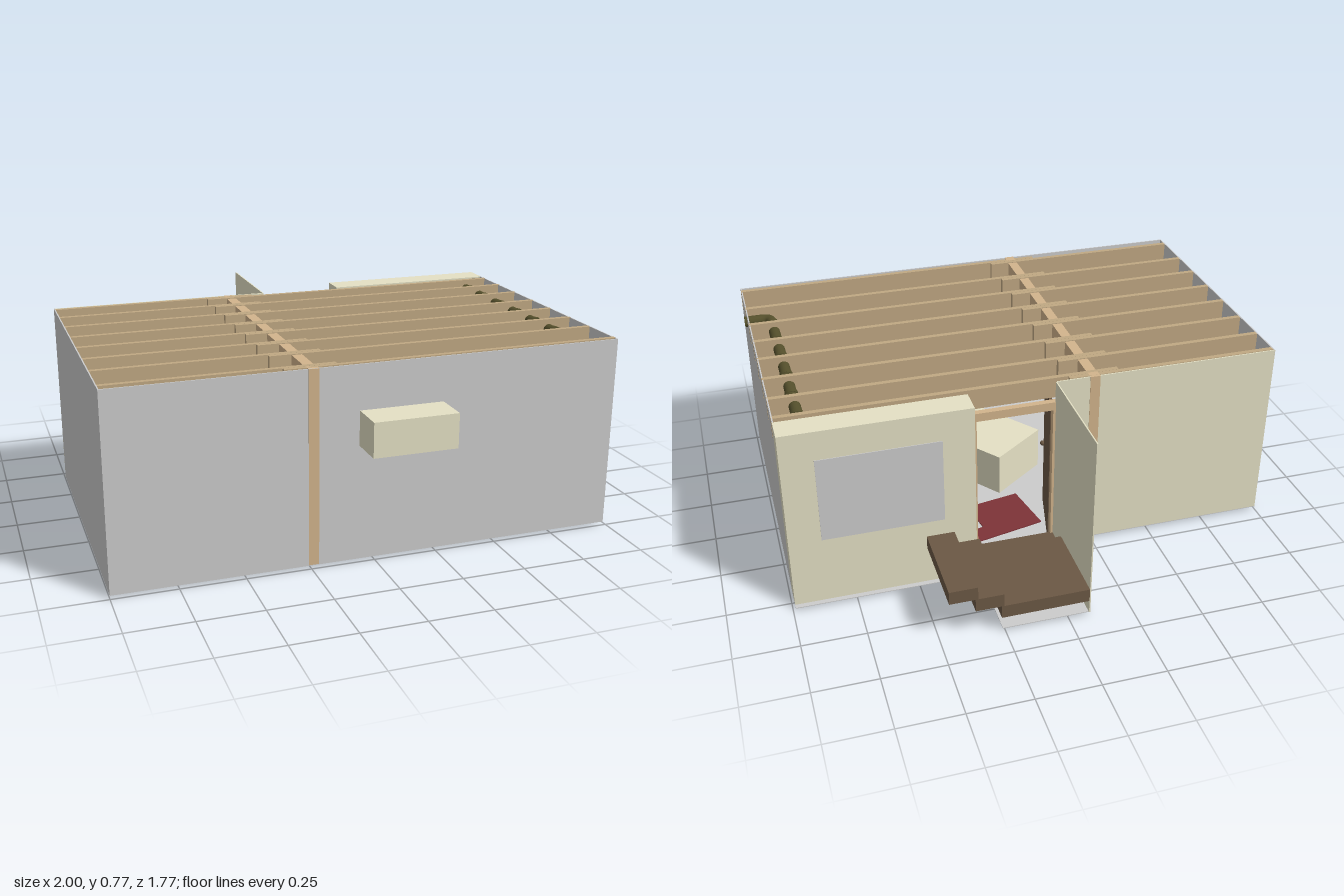
import * as THREE from 'three';

const paint = (color) => new THREE.MeshStandardMaterial({ color, side: THREE.DoubleSide });
const GREY = paint(0xcccccc), CREAM = paint(0xe4e0c4), TAN = paint(0xd2b48c), JOIST = paint(0xc0a883),
  BROWN = paint(0x6b5844), OLIVE = paint(0x55502c), RED = paint(0x7d3338), DARK = paint(0x666666);

export function createModel() {
  const model = new THREE.Group();
  model.name = 'basement';
  const add = (name, geometry, material) => {
    const mesh = new THREE.Mesh(geometry, material);
    mesh.name = name;
    model.add(mesh);
    return mesh;
  };
  // Box given by its limits on each axis
  const box = (name, x0, x1, y0, y1, z0, z1, material) => {
    const mesh = add(name, new THREE.BoxGeometry(x1 - x0, y1 - y0, z1 - z0), material);
    mesh.position.set((x0 + x1) / 2, (y0 + y1) / 2, (z0 + z1) / 2);
    return mesh;
  };
  // Flat outline in x and z, raised from y0 to y1
  const slab = (name, points, y0, y1, material) => {
    const shape = new THREE.Shape(points.map(([x, z]) => new THREE.Vector2(x, -z)));
    const geometry = new THREE.ExtrudeGeometry(shape, { depth: y1 - y0, bevelEnabled: false });
    geometry.rotateX(-Math.PI / 2);
    const mesh = add(name, geometry, material);
    mesh.position.y = y0;
    return mesh;
  };
  const pipe = (name, points, radius, material) => {
    const path = new THREE.CurvePath();
    const v = points.map((p) => new THREE.Vector3(...p));
    let start = v[0];
    for (let i = 1; i < v.length; i++) {
      if (i === v.length - 1) {
        path.add(new THREE.LineCurve3(start, v[i]));
        break;
      }
      // Rounded elbow at each inner point
      const before = v[i].clone().add(v[i - 1].clone().sub(v[i]).setLength(radius * 1.8));
      const after = v[i].clone().add(v[i + 1].clone().sub(v[i]).setLength(radius * 1.8));
      path.add(new THREE.LineCurve3(start, before));
      path.add(new THREE.QuadraticBezierCurve3(before, v[i], after));
      start = after;
    }
    return add(name, new THREE.TubeGeometry(path, 160, radius, 14), material);
  };

  const F = 0.015, T = 0.775, W = 0.005;

  // Floor with the bay and the stairwell
  slab('floor', [[-1, 0.745], [0.99, 0.745], [0.99, -0.55], [0.26, -0.55], [0.26, -0.88],
    [-0.085, -0.88], [-0.085, -0.43], [-1, -0.43]], F - 0.003, F, GREY);

  // Outer walls
  box('frontWall', -1, 0.99, F, T, 0.745 - W, 0.745, GREY);
  box('rightWall', -1, -1 + W, F, T, -0.43, 0.745, GREY);
  box('leftWall', 0.99 - W, 0.99, F, T, -0.425, 0.745, GREY);
  box('backWall', -1, -0.085, F, T, -0.43, -0.43 + W, CREAM);
  box('stairwellWall', -0.085, -0.085 + W, F, T, -0.885, -0.43, CREAM);

  // Bay behind the back wall, with its blank window
  box('bayBackWall', 0.265, 0.99, F, T, -0.53, -0.53 + W, CREAM);
  box('bayLeftWall', 0.99 - W, 0.99, F, T, -0.53, -0.425, CREAM);
  box('bayRightWall', 0.265, 0.265 + W, F, T, -0.53, -0.425, CREAM);
  box('bayTop', 0.265, 0.99, T - W, T, -0.53, -0.425, CREAM);
  box('bayWindow', 0.39, 0.865, 0.3, 0.655, -0.533, -0.53, GREY);

  // Window well on the front
  box('windowWell', -0.065, 0.265, 0.465, 0.6, 0.74, 0.885, CREAM);

  // Beam and its two posts
  box('beam', -0.26, -0.22, 0.69, T - 0.003, -0.43, 0.745, TAN);
  box('frontPost', -0.26, -0.22, F, T, 0.71, 0.747, TAN);
  box('backPost', -0.26, -0.22, F, T, -0.432, -0.395, TAN);

  // Joists, lapped in pairs over the beam
  const joistZ = [-0.39, -0.25, -0.093, 0.07, 0.225, 0.383, 0.538, 0.717];
  for (const z of joistZ) {
    box('leftJoist', -0.345, 0.991, 0.69, T, z - 0.01, z + 0.01, JOIST);
    box('rightJoist', -0.995, -0.14, 0.69, T, z - 0.031, z - 0.011, JOIST);
  }

  // Doorway frame and open door
  box('doorHead', -0.095, 0.255, 0.655, 0.69, -0.437, -0.412, TAN);
  box('doorJamb', -0.095, -0.07, F, 0.66, -0.437, -0.412, TAN);
  box('doorJamb', 0.235, 0.265, F, 0.66, -0.437, -0.412, TAN);
  const door = new THREE.Group();
  door.name = 'door';
  const leaf = new THREE.Mesh(new THREE.BoxGeometry(0.012, 0.63, 0.28), BROWN);
  leaf.name = 'doorLeaf';
  leaf.position.set(0, 0.335, 0.14);
  const knob = new THREE.Mesh(new THREE.SphereGeometry(0.011, 12, 8), BROWN);
  knob.name = 'doorKnob';
  knob.position.set(0.012, 0.32, 0.262);
  door.add(leaf, knob);
  door.position.set(-0.075, 0, -0.405);
  door.rotation.y = -0.24;
  model.add(door);

  // Stairs: one step to the landing, then two more rising to the left
  box('lowStep', -0.085, 0.265, F, 0.07, -0.545, -0.43, BROWN);
  box('landing', -0.08, 0.265, 0.07, 0.125, -0.885, -0.54, BROWN);
  box('middleStep', 0.255, 0.365, 0.125, 0.18, -0.885, -0.535, BROWN);
  box('topStep', 0.355, 0.465, 0.18, 0.235, -0.885, -0.535, BROWN);

  // Table and rug
  slab('table', [[0.03, -0.03], [-0.2, 0.14], [0.22, 0.7], [0.45, 0.525]], F, 0.2, CREAM);
  slab('rug', [[-0.08, -0.285], [0.25, -0.355], [0.265, -0.28], [0.165, -0.255], [0.195, -0.1],
    [-0.035, -0.06]], 0.01, 0.02, RED);

  // Drain pipe and two water lines
  pipe('drainPipe', [[1, 0.732, 0.5], [0.89, 0.732, 0.5], [0.89, 0.732, -0.48], [0.89, 0, -0.48]], 0.023, OLIVE);
  for (let i = 0; i < 6; i++) {
    const collar = add('pipeCollar', new THREE.CylinderGeometry(0.026, 0.026, 0.025, 14), OLIVE);
    collar.rotation.x = Math.PI / 2;
    collar.position.set(0.89, 0.732, -0.33 + i * 0.155);
  }
  for (const x of [0.955, 0.973]) pipe('waterLine', [[x, 0.675, -0.425], [x, 0.675, 0.74]], 0.006, TAN);

  // Round-cornered tank with a backing plate
  slab('tank', [[0.74, 0.25], [0.74, 0.13], [0.755, 0.1], [0.79, 0.085], [0.89, 0.085], [0.925, 0.1],
    [0.94, 0.13], [0.94, 0.25]], F, 0.35, DARK);
  box('tankPlate', 0.735, 0.945, F, 0.37, 0.25, 0.26, DARK);

  // Floor drain, small standpipe and loose boards on the floor
  const ring = add('floorDrain', new THREE.TorusGeometry(0.027, 0.008, 8, 24), GREY);
  ring.rotation.x = Math.PI / 2;
  ring.position.set(0.74, F, 0.305);
  const standpipe = add('standpipe', new THREE.CylinderGeometry(0.012, 0.012, 0.08, 12), OLIVE);
  standpipe.position.set(0.715, 0.055, -0.065);
  const boards = [[0.72, 0.455, 0.07, 0.07, 0.1], [0.74, 0.55, 0.05, 0.17, 0.35],
    [0.82, 0.59, 0.055, 0.19, 0.5], [0.88, 0.645, 0.18, 0.05, 0.25]];
  for (const [x, z, w, d, turn] of boards) {
    const board = add('looseBoard', new THREE.BoxGeometry(w, 0.012, d), GREY);
    board.position.set(x, F, z);
    board.rotation.y = turn;
  }

  return model;
}
